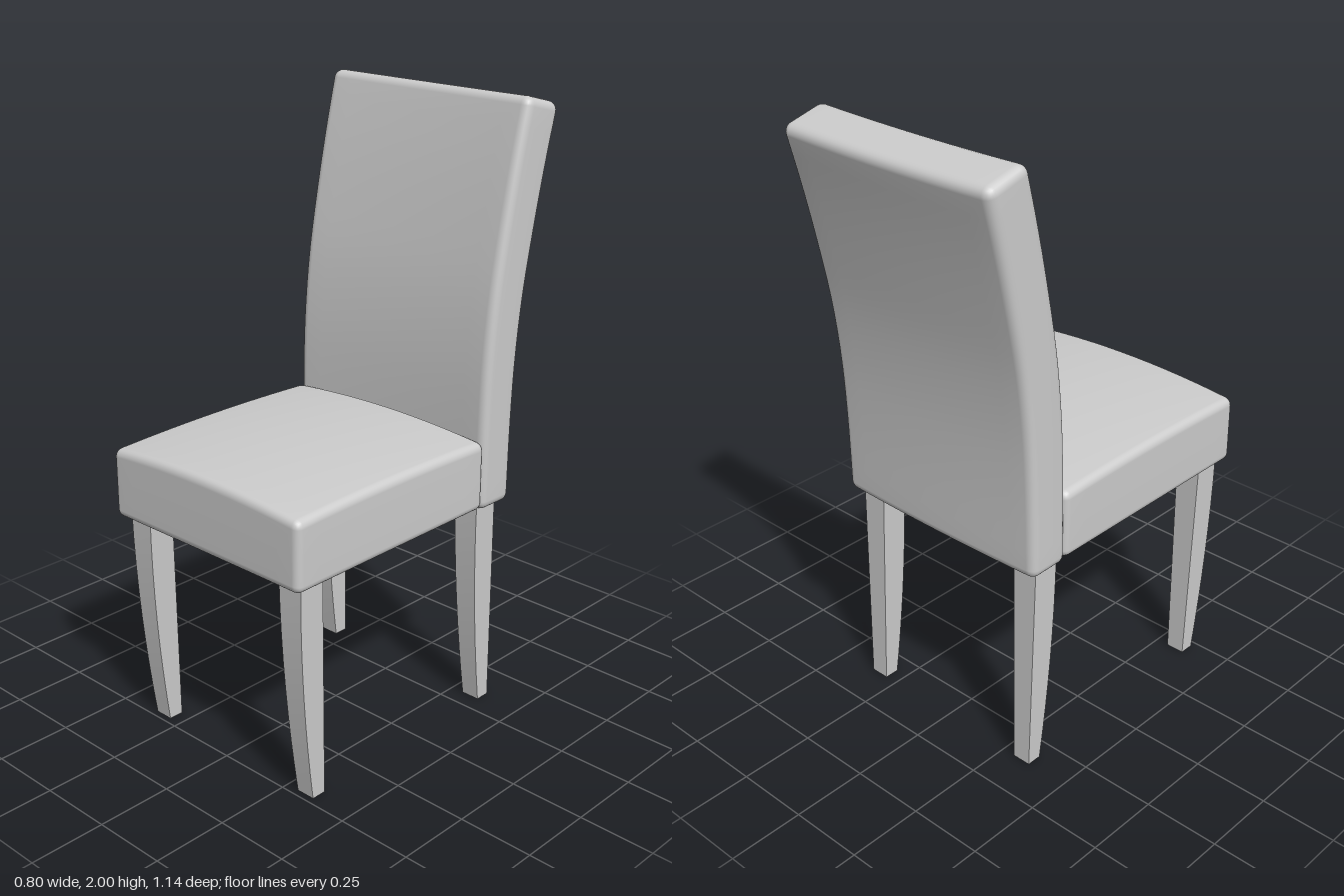
import * as THREE from 'three';
import { mergeVertices, toCreasedNormals } from 'three/addons/utils/BufferGeometryUtils.js';

const material = new THREE.MeshStandardMaterial({ color: 0xcccccc });

// Moves every vertex of a geometry by a rule
function deform(geometry, rule) {
  const pos = geometry.attributes.position;
  const v = new THREE.Vector3();
  for (let i = 0; i < pos.count; i++) {
    v.fromBufferAttribute(pos, i);
    rule(v);
    pos.setXYZ(i, v.x, v.y, v.z);
  }
  return geometry;
}

// Cushion block: a subdivided box with rounded edges, centred on the origin, then shaped by a rule
function cushion(size, radius, segments, rule) {
  const rim = 3; // segments inside each rounded edge
  const half = size.map((s) => s / 2);
  const geometry = new THREE.BoxGeometry(...size, ...segments);
  geometry.deleteAttribute('normal');
  geometry.deleteAttribute('uv');
  const grid = (value, axis) => {
    const n = segments[axis];
    const h = half[axis];
    const i = Math.round((value / size[axis] + 0.5) * n);
    if (i <= rim) return -h + (radius * i) / rim;
    if (i >= n - rim) return h - (radius * (n - i)) / rim;
    return (h - radius) * ((2 * (i - rim)) / (n - 2 * rim) - 1);
  };
  const inner = new THREE.Vector3(...half).subScalar(radius);
  const innerMin = inner.clone().negate();
  deform(geometry, (v) => {
    v.set(grid(v.x, 0), grid(v.y, 1), grid(v.z, 2));
    const core = v.clone().clamp(innerMin, inner);
    v.sub(core).setLength(radius).add(core);
    rule(v);
  });
  const smooth = mergeVertices(geometry, 1e-5);
  smooth.computeVertexNormals();
  return smooth;
}

function addMesh(group, name, geometry) {
  const mesh = new THREE.Mesh(geometry, material);
  mesh.name = name;
  group.add(mesh);
  return mesh;
}

// Seat with a softly crowned top
function seatGeometry() {
  const width = 0.8, height = 0.225, depth = 0.825;
  return cushion([width, height, depth], 0.025, [18, 8, 18], (v) => {
    const u = v.x / (width / 2);
    const w = v.z / (depth / 2);
    const lift = 0.022 * (1 - u * u) + 0.01 * (1 - w * w);
    v.y += lift * THREE.MathUtils.clamp(v.y / height + 0.5, 0, 1);
    v.y += 0.73 + height / 2;
    v.z += 0.1625;
  });
}

// Backrest swept along a backward-leaning curve
function backrestGeometry() {
  const spine = new THREE.CatmullRomCurve3([
    [0.72, -0.314], [1.0, -0.318], [1.2, -0.328], [1.4, -0.351],
    [1.6, -0.389], [1.8, -0.434], [1.985, -0.482],
  ].map(([y, z]) => new THREE.Vector3(0, y, z)));
  const height = 1.28;
  return cushion([0.8, height, 0.155], 0.03, [18, 26, 8], (v) => {
    const t = THREE.MathUtils.clamp(v.y / height + 0.5, 0, 1);
    const point = spine.getPointAt(t);
    const tangent = spine.getTangentAt(t);
    const u = v.x / 0.4;
    const offset = v.z * (0.93 + 0.12 * t) - 0.009 * (1 - u * u);
    v.y = point.y - tangent.z * offset;
    v.z = point.z + tangent.y * offset;
  });
}

// Square tapering leg whose front face curves back towards the foot
function legGeometry() {
  const top = 0.74;
  const geometry = deform(new THREE.BoxGeometry(1, 1, 1, 1, 8, 1), (v) => {
    const t = v.y + 0.5;
    const halfWidth = THREE.MathUtils.lerp(0.032, 0.044, t);
    const front = 0.535 - 0.057 * Math.pow(1 - t, 1.9);
    const rear = 0.428 + 0.017 * t;
    v.set(v.x * 2 * halfWidth, t * top, v.z > 0 ? front : rear);
  });
  return toCreasedNormals(geometry, 0.5);
}

export function createModel() {
  const chair = new THREE.Group();
  chair.name = 'chair';

  addMesh(chair, 'seat', seatGeometry());
  addMesh(chair, 'backrest', backrestGeometry());

  // Four matching legs
  const leg = legGeometry();
  for (const [side, x] of [['Left', 0.327], ['Right', -0.327]]) {
    for (const [end, z] of [['front', 0], ['back', -0.79]]) {
      addMesh(chair, `${end}${side}Leg`, leg).position.set(x, 0, z);
    }
  }
  return chair;
}
